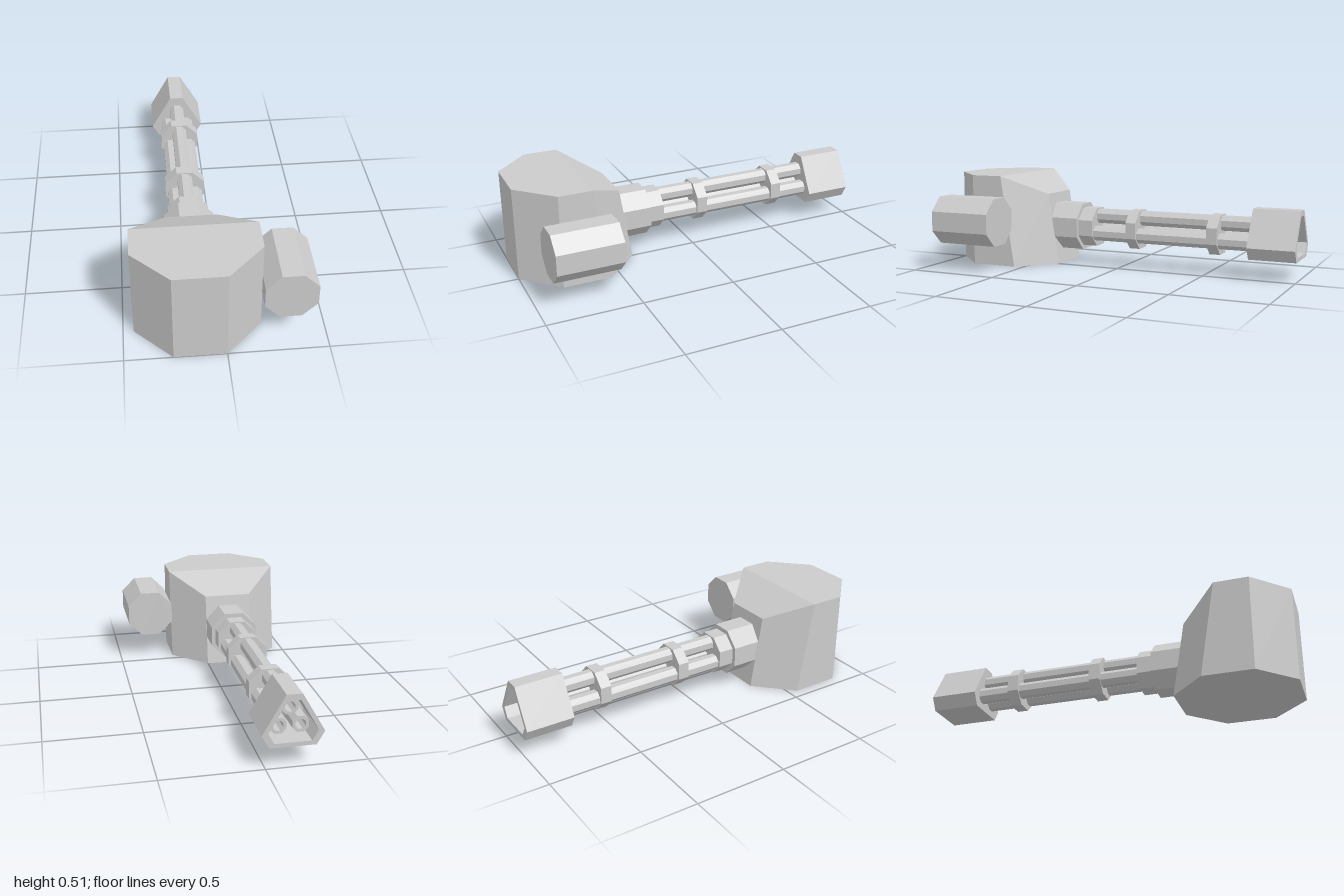
import * as THREE from 'three';

const material = new THREE.MeshStandardMaterial({ color: 0xcccccc, flatShading: true });
const AXIS_X = -0.13, AXIS_Y = 0.212;

// Points of an upright octagon, sized by the distance from centre to flat
function octagon(apothem) {
  const r = apothem / Math.cos(Math.PI / 8);
  return Array.from({ length: 8 }, (_, i) => {
    const a = (i + 0.5) * Math.PI / 4;
    return new THREE.Vector2(r * Math.cos(a), r * Math.sin(a));
  });
}

// Triangle with cut corners, one corner pointing up
function cutTriangle(scale) {
  const points = [];
  for (let i = 0; i < 3; i++) {
    for (const x of [0.038, -0.038]) {
      points.push(new THREE.Vector2(x * scale, 0.152 * scale)
        .rotateAround(new THREE.Vector2(), i * Math.PI * 2 / 3));
    }
  }
  return points;
}

// Prism along z between two depths, with an optional hole
function prism(name, outline, x, y, zBack, zFront, hole) {
  const shape = new THREE.Shape(outline);
  if (hole) shape.holes.push(new THREE.Path(hole));
  const geometry = new THREE.ExtrudeGeometry(shape, { depth: zFront - zBack, bevelEnabled: false });
  const mesh = new THREE.Mesh(geometry, material);
  mesh.name = name;
  mesh.position.set(x, y, zBack);
  return mesh;
}

// Upright octagonal housing whose rear top edge is cut down to a slope
function createHousing() {
  const height = 0.508;
  const geometry = new THREE.CylinderGeometry(0.343, 0.343, height, 8);
  geometry.rotateY(Math.PI / 8);
  geometry.translate(0, height / 2, 0);
  const p = geometry.attributes.position;
  for (let i = 0; i < p.count; i++) {
    if (p.getY(i) < 0.3) continue;
    const z = p.getZ(i);
    if (z < -0.25) {
      p.setZ(i, -0.253);
      p.setY(i, 0.4);
    } else if (z < 0.05) {
      p.setZ(i, -0.05);
    }
  }
  const flat = geometry.toNonIndexed();
  flat.computeVertexNormals();
  const mesh = new THREE.Mesh(flat, material);
  mesh.name = 'housing';
  mesh.position.set(AXIS_X, 0, 0.683);
  return mesh;
}

export function createModel() {
  const group = new THREE.Group();
  group.name = 'rotaryGun';

  group.add(createHousing());
  group.add(prism('sideDrum', octagon(0.13), 0.315, 0.27, 0.565, 0.915));

  // Hub and the collars that hold the barrels
  group.add(prism('hub', octagon(0.13), AXIS_X, AXIS_Y, 0.25, 0.45));
  for (const [name, zBack, zFront] of [
    ['rearCollar', 0.165, 0.25],
    ['middleCollar', -0.1, -0.04],
    ['endCollar', -0.57, -0.51],
  ]) {
    group.add(prism(name, octagon(0.107), AXIS_X, AXIS_Y, zBack, zFront));
  }

  // Three hollow barrels around the axis
  for (let i = 0; i < 3; i++) {
    const a = Math.PI / 2 + i * Math.PI * 2 / 3;
    group.add(prism('barrel', octagon(0.04),
      AXIS_X + 0.062 * Math.cos(a), AXIS_Y + 0.062 * Math.sin(a),
      -0.93, 0.2, octagon(0.025).reverse()));
  }

  // Open muzzle shroud, closed on the side facing the housing
  group.add(prism('muzzleShroud', cutTriangle(1), AXIS_X, AXIS_Y + 0.001, -1, -0.755, cutTriangle(0.8).reverse()));
  group.add(prism('muzzlePlate', cutTriangle(1), AXIS_X, AXIS_Y + 0.001, -0.755, -0.745));

  return group;
}
